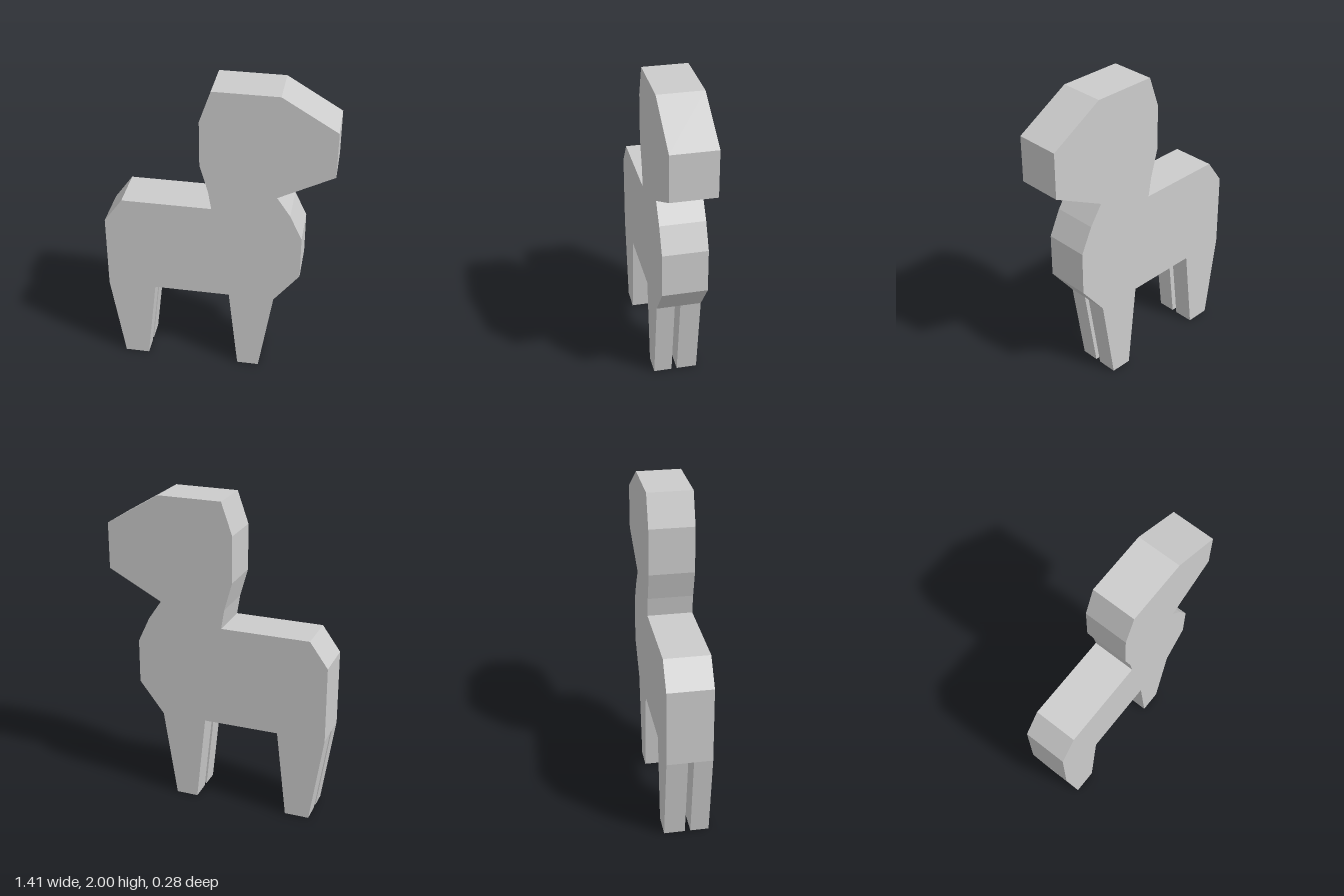
import * as THREE from 'three';

const material = new THREE.MeshStandardMaterial({ color: 0xcccccc, flatShading: true });

// Flat slab: side outline (x, y) extruded from z0 to z1
function slab(name, outline, z0, z1) {
  const shape = new THREE.Shape(outline.map(([x, y]) => new THREE.Vector2(x, y)));
  const geometry = new THREE.ExtrudeGeometry(shape, { depth: z1 - z0, bevelEnabled: false });
  geometry.translate(0, 0, z0);
  const mesh = new THREE.Mesh(geometry, material);
  mesh.name = name;
  return mesh;
}

export function createModel() {
  const group = new THREE.Group();
  group.name = 'animal';
  const half = 0.14, hip = 0.565;

  // Body, neck and head share one continuous outline
  group.add(slab('bodyAndHead', [
    [-0.705, hip], [-0.4, hip], [0.08, hip], [0.367, hip],       // belly
    [0.525, 0.77], [0.525, 1.05], [0.45, 1.21], [0.367, 1.333],  // chest and throat
    [0.705, 1.51], [0.705, 1.8], [0.37, 2], [-0.03, 2],          // muzzle and crown
    [-0.1, 1.8], [-0.1, 1.51], [-0.05, 1.333], [-0.03, 1.21],    // nape
    [-0.59, 1.21], [-0.705, 1.05],                               // back and rump
  ], -half, half));

  // Tapered legs, a pair at each end with a narrow slot between
  const legs = {
    hindLeg: [[-0.62, 0], [-0.465, 0], [-0.4, hip], [-0.705, hip]],
    foreLeg: [[0.14, 0], [0.28, 0], [0.367, hip], [0.08, hip]],
  };
  for (const [name, outline] of Object.entries(legs)) {
    group.add(slab(name + 'Near', outline, 0.025, half));
    group.add(slab(name + 'Far', outline, -half, -0.01));
  }
  return group;
}
